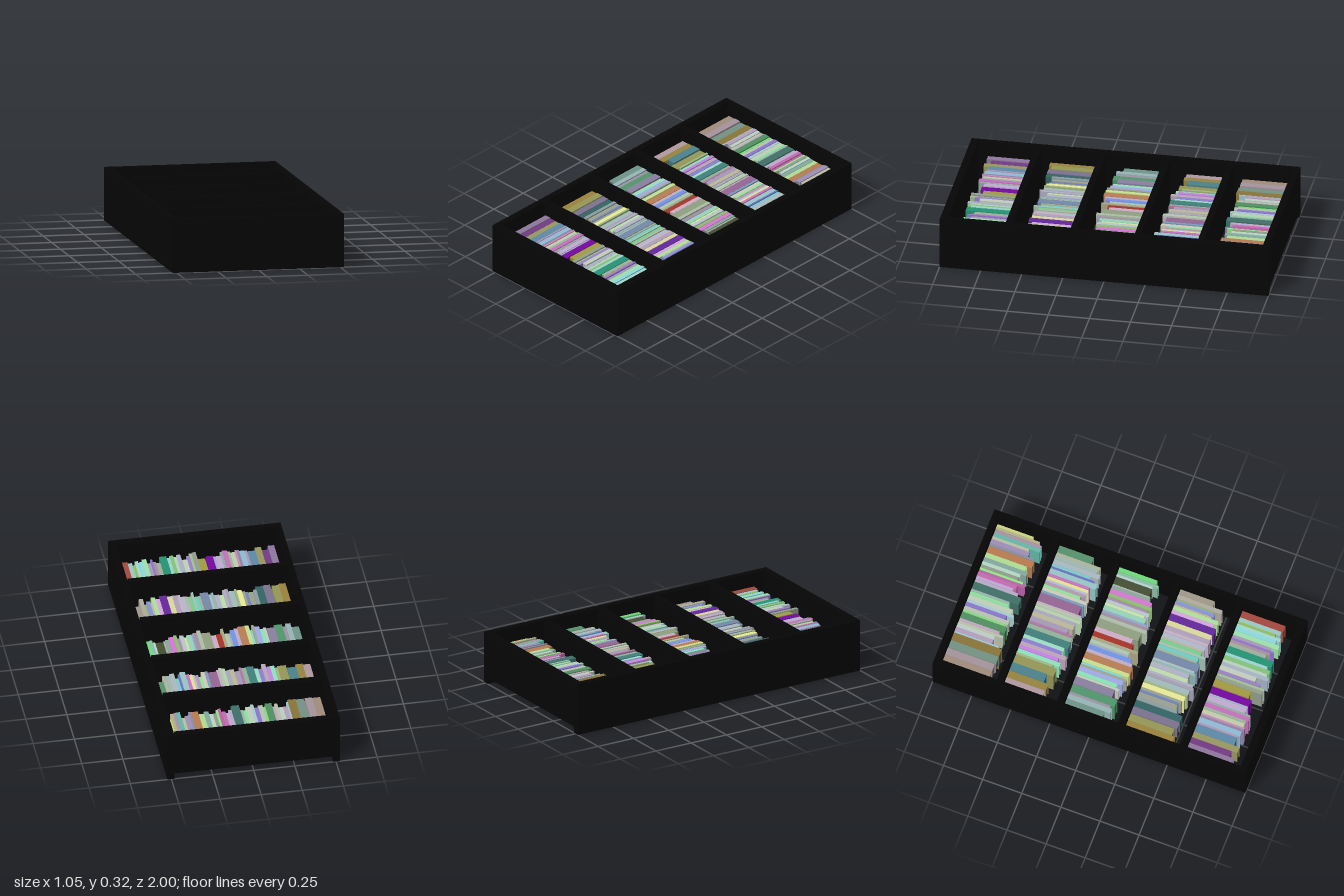
import * as THREE from 'three';

// Small seeded generator so the books are the same every time
function seeded(seed) {
  let s = seed;
  return () => {
    s = (s * 1664525 + 1013904223) % 4294967296;
    return s / 4294967296;
  };
}

function material(color) {
  return new THREE.MeshStandardMaterial({ color });
}

// Box given by its min and max on each axis
function board(name, [x0, x1], [y0, y1], [z0, z1], mat) {
  const mesh = new THREE.Mesh(new THREE.BoxGeometry(x1 - x0, y1 - y0, z1 - z0), mat);
  mesh.position.set((x0 + x1) / 2, (y0 + y1) / 2, (z0 + z1) / 2);
  mesh.name = name;
  return mesh;
}

// Book with its spine up: a U-shaped cover around an inset page block
function book(x, width, length, bottom, top, z, color) {
  const group = new THREE.Group();
  group.name = 'book';
  const w = width * 0.985;
  const t = Math.min(0.004, w * 0.2);
  const shape = new THREE.Shape();
  [[0, bottom], [t, bottom], [t, top - t], [w - t, top - t], [w - t, bottom], [w, bottom], [w, top], [0, top]]
    .forEach(([px, py], i) => (i ? shape.lineTo(px, py) : shape.moveTo(px, py)));
  const cover = new THREE.Mesh(new THREE.ExtrudeGeometry(shape, { depth: length, bevelEnabled: false }), material(color));
  cover.name = 'cover';
  cover.position.set(x, 0, z);
  const pages = board('pages', [x + t, x + w - t], [bottom + 0.006, top - t],
    [z + 0.003, z + length - 0.005], material(new THREE.Color(color).multiplyScalar(0.7)));
  group.add(cover, pages);
  return group;
}

// Wide books of each row: [left edge, width, length, color]; thin ones fill the gaps
const rows = [
  { z: -0.96, wide: [
    [-0.465, 0.05, 0.30, 0xa08c7c], [-0.415, 0.045, 0.30, 0xa5949d], [-0.365, 0.05, 0.305, 0x739284],
    [-0.315, 0.05, 0.305, 0x8a753a], [-0.165, 0.04, 0.285, 0x4f9060], [0.03, 0.05, 0.30, 0x3f7068],
    [0.28, 0.045, 0.29, 0xb87a50]] },
  { z: -0.565, wide: [
    [-0.465, 0.045, 0.245, 0xb09aa2], [-0.42, 0.045, 0.25, 0x98843f], [-0.375, 0.055, 0.22, 0x4c828c],
    [-0.32, 0.055, 0.26, 0x949656], [-0.125, 0.045, 0.28, 0x40807c], [0.10, 0.055, 0.26, 0x946694],
    [0.43, 0.045, 0.22, 0x56926e]] },
  { z: -0.18, wide: [
    [-0.465, 0.045, 0.24, 0x6e948a], [-0.37, 0.05, 0.285, 0x52966c], [-0.32, 0.05, 0.25, 0x8a80a0],
    [-0.145, 0.045, 0.30, 0xb87e56], [0.005, 0.035, 0.25, 0xa83428], [0.07, 0.055, 0.27, 0x90a080],
    [0.36, 0.05, 0.23, 0x464e34]] },
  { z: 0.21, wide: [
    [-0.465, 0.045, 0.30, 0x9c823c], [-0.42, 0.045, 0.28, 0x949656], [-0.37, 0.045, 0.295, 0x7c7290],
    [-0.325, 0.045, 0.295, 0x346464], [0.01, 0.05, 0.28, 0x7488a8], [0.26, 0.045, 0.29, 0x64289a],
    [0.43, 0.04, 0.22, 0xa0988a]] },
  { z: 0.605, wide: [
    [-0.465, 0.04, 0.285, 0x8e769e], [-0.425, 0.04, 0.255, 0x743a84], [-0.385, 0.04, 0.29, 0x989860],
    [-0.345, 0.05, 0.255, 0x5c8aa8], [-0.085, 0.045, 0.25, 0x7408a0], [-0.035, 0.045, 0.23, 0xa29c42],
    [0.19, 0.045, 0.29, 0x249474], [0.43, 0.042, 0.275, 0xa4483e]] },
];

function bookRow({ z, wide }, random) {
  const group = new THREE.Group();
  group.name = 'bookRow';
  const place = (x, width, length, color) => {
    const top = 0.234 + 0.012 * random();
    const bottom = 0.008 + 0.085 * random();
    group.add(book(x, width, length, bottom, top, z, color));
  };
  const fill = (from, to) => {
    const count = Math.round((to - from) / 0.022);
    const weights = Array.from({ length: count }, () => 0.5 + random());
    const total = weights.reduce((a, b) => a + b, 0);
    let x = from;
    for (const weight of weights) {
      const width = (to - from) * weight / total;
      const color = new THREE.Color().setHSL(0.14 + 0.75 * random(), 0.12 + 0.55 * random() ** 2, 0.3 + 0.27 * random());
      place(x, width, 0.23 + 0.07 * random(), color);
      x += width;
    }
  };
  let cursor = -0.465;
  for (const [x, width, length, color] of wide) {
    fill(cursor, x);
    place(x, width, length, color);
    cursor = x + width;
  }
  fill(cursor, Math.max(cursor, 0.47));
  return group;
}

export function createModel() {
  const model = new THREE.Group();
  model.name = 'bookcase';
  const black = material(0x050505);
  const H = 0.322;

  // Side panels and the full-height end panel
  model.add(board('rightSide', [-0.524, -0.483], [0, H], [-1, 1], black));
  model.add(board('leftSide', [0.481, 0.524], [0, H], [-1, 1], black));
  model.add(board('endPanel', [-0.483, 0.481], [0, H], [0.955, 1], black));

  // Shelves, raised clear of the lower edge, each with a row of books
  const random = seeded(7);
  for (const row of rows) {
    model.add(board('shelf', [-0.483, 0.476], [0.04, H], [row.z - 0.04, row.z], black));
    model.add(bookRow(row, random));
  }
  return model;
}
